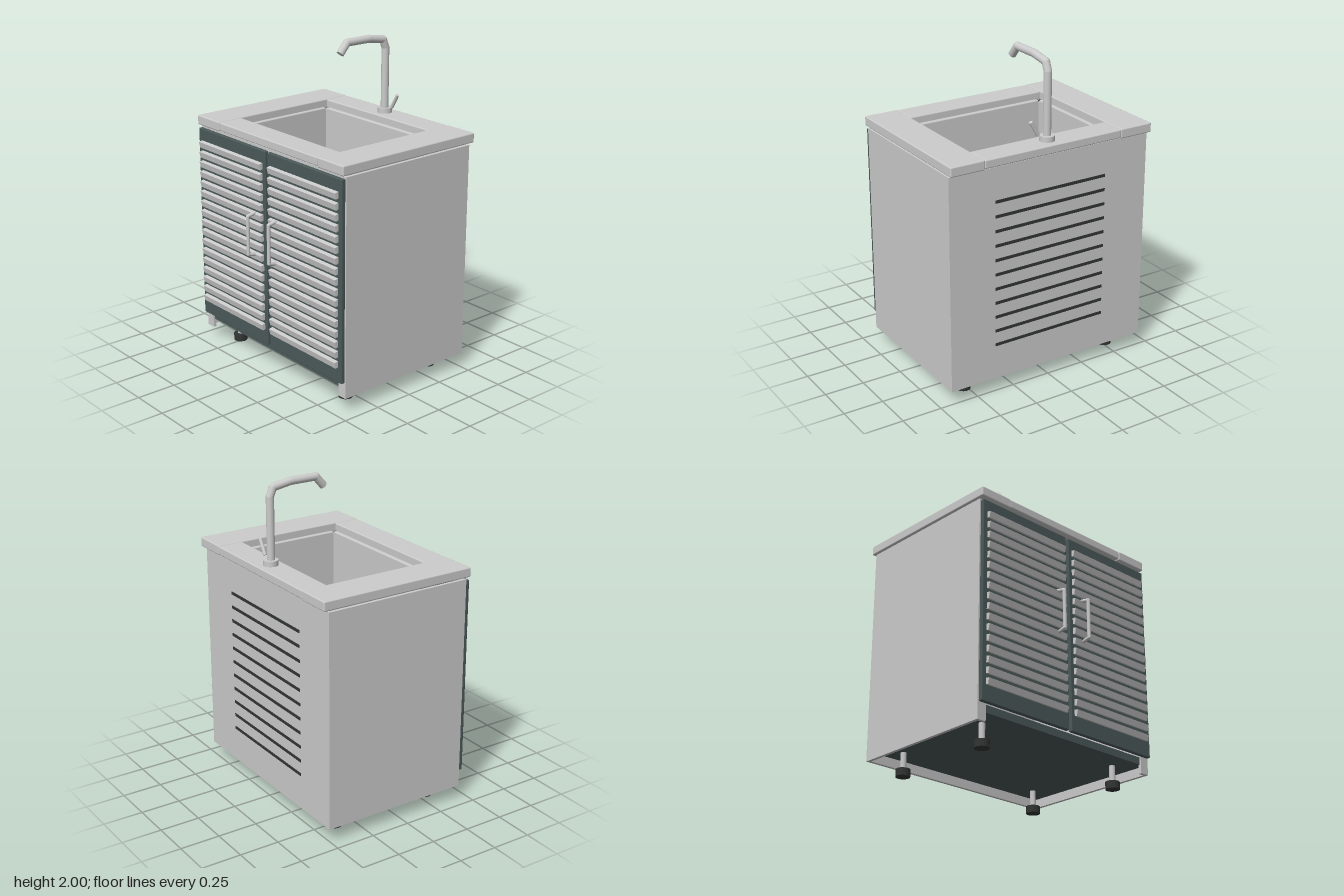
import * as THREE from 'three';
import { RoundedBoxGeometry } from 'three/addons/geometries/RoundedBoxGeometry.js';

const steel = new THREE.MeshStandardMaterial({ color: 0xcccccc });
const dark = new THREE.MeshStandardMaterial({ color: 0x4c5a5a });
const black = new THREE.MeshStandardMaterial({ color: 0x333535 });

export function createModel() {
  const model = new THREE.Group();

  const add = (parent, name, geometry, material) => {
    const mesh = new THREE.Mesh(geometry, material);
    mesh.name = name;
    parent.add(mesh);
    return mesh;
  };
  const group = (name) => {
    const g = new THREE.Group();
    g.name = name;
    model.add(g);
    return g;
  };
  // Box given by its extents; a radius rounds the edges
  const box = (parent, name, [x0, x1], [y0, y1], [z0, z1], material = steel, radius = 0) => {
    const size = [x1 - x0, y1 - y0, z1 - z0];
    const geometry = radius ? new RoundedBoxGeometry(...size, 2, radius) : new THREE.BoxGeometry(...size);
    const mesh = add(parent, name, geometry, material);
    mesh.position.set((x0 + x1) / 2, (y0 + y1) / 2, (z0 + z1) / 2);
    return mesh;
  };
  const cylinder = (parent, name, radius, y0, y1, x, z, material = steel) => {
    const mesh = add(parent, name, new THREE.CylinderGeometry(radius, radius, y1 - y0, 24), material);
    mesh.position.set(x, (y0 + y1) / 2, z);
    return mesh;
  };
  // Straight pipe runs joined by round elbows
  const pipe = (parent, name, radius, points) => {
    const p = points.map((a) => new THREE.Vector3(...a));
    for (let i = 0; i < p.length - 1; i++) {
      const dir = p[i + 1].clone().sub(p[i]);
      const run = add(parent, name, new THREE.CylinderGeometry(radius, radius, dir.length(), 16), steel);
      run.position.copy(p[i]).addScaledVector(dir, 0.5);
      run.quaternion.setFromUnitVectors(new THREE.Vector3(0, 1, 0), dir.normalize());
      if (i > 0) add(parent, name + 'Elbow', new THREE.SphereGeometry(radius, 16, 12), steel).position.copy(p[i]);
    }
  };

  // Cabinet shell
  const cabinet = group('cabinet');
  box(cabinet, 'backPanel', [-0.68, 0.68], [0.09, 1.43], [-0.51, -0.49]);
  box(cabinet, 'bottomPanel', [-0.665, 0.665], [0.145, 0.19], [-0.49, 0.43], dark);
  for (const s of [-1, 1]) {
    const span = (a, b) => (s > 0 ? [a, b] : [-b, -a]);
    box(cabinet, 'sidePanel', span(0.66, 0.68), [0.09, 1.43], [-0.49, 0.44]);
    box(cabinet, 'sideFlange', span(0.62, 0.66), [0.09, 1.43], [0.42, 0.44]);
  }
  box(cabinet, 'frontRail', [-0.62, 0.62], [1.4, 1.43], [0.41, 0.435]);

  // Vent slots on the back
  const vents = group('backVents');
  for (let i = 0; i < 11; i++) {
    const y = 0.315 + i * 0.0905;
    box(vents, 'ventSlot', [-0.38, 0.38], [y - 0.009, y + 0.009], [-0.514, -0.505], black);
  }

  // Louvred doors with bar handles
  for (const s of [-1, 1]) {
    const door = group(s > 0 ? 'leftDoor' : 'rightDoor');
    const span = (a, b) => (s > 0 ? [a, b] : [-b, -a]);
    box(door, 'doorPanel', span(0.01, 0.675), [0.19, 1.42], [0.441, 0.467], dark, 0.005);
    for (let i = 0; i < 17; i++) {
      const y = 0.305 + i * 0.0637;
      const slat = box(door, 'louver', span(0.035, 0.645), [y - 0.019, y + 0.019], [0.462, 0.488]);
      slat.rotation.x = 0.22;
    }
    const x = 0.1 * s;
    pipe(door, 'handle', 0.011, [
      [x, 1.025, 0.48], [x, 1.013, 0.534], [x, 0.772, 0.534], [x, 0.76, 0.48],
    ]);
  }

  // Countertop: two side slabs, with narrower slabs before and behind the basin
  const top = group('countertop');
  for (const s of [-1, 1]) {
    box(top, 'sideSlab', s > 0 ? [0.465, 0.685] : [-0.685, -0.465], [1.44, 1.5], [-0.545, 0.468], steel, 0.008);
  }
  box(top, 'frontSlab', [-0.465, 0.465], [1.445, 1.498], [0.3, 0.466], steel, 0.008);
  box(top, 'backSlab', [-0.465, 0.465], [1.445, 1.498], [-0.545, -0.38], steel, 0.008);

  // Basin with a rolled rim
  const basin = group('basin');
  box(basin, 'basinFloor', [-0.45, 0.45], [1.09, 1.105], [-0.365, 0.285]);
  for (const s of [-1, 1]) {
    const wallX = s > 0 ? [0.435, 0.45] : [-0.45, -0.435];
    const wallZ = s > 0 ? [0.27, 0.285] : [-0.365, -0.35];
    box(basin, 'sideWall', wallX, [1.105, 1.44], [-0.365, 0.285]);
    box(basin, 'endWall', [-0.435, 0.435], [1.105, 1.44], wallZ);
    box(basin, 'sideRim', s > 0 ? [0.435, 0.463] : [-0.463, -0.435], [1.425, 1.455], [-0.35, 0.27], steel, 0.008);
    box(basin, 'endRim', [-0.435, 0.435], [1.425, 1.455], s > 0 ? [0.27, 0.3] : [-0.38, -0.35], steel, 0.008);
  }

  // Slotted drain
  const drain = group('drain');
  cylinder(drain, 'drainCup', 0.047, 1.1, 1.108, 0, -0.04, black);
  const ring = add(drain, 'drainRing', new THREE.TorusGeometry(0.05, 0.005, 8, 32), steel);
  ring.rotation.x = Math.PI / 2;
  ring.position.set(0, 1.107, -0.04);
  for (let i = -2; i <= 2; i++) {
    box(drain, 'drainBar', [i * 0.013 - 0.002, i * 0.013 + 0.002], [1.107, 1.111], [-0.062, -0.018]);
  }

  // Tap with a bent spout and a slanted lever
  const tap = group('tap');
  cylinder(tap, 'tapBase', 0.045, 1.495, 1.53, 0, -0.46);
  pipe(tap, 'spout', 0.024, [
    [0, 1.52, -0.458], [0, 1.905, -0.458], [0, 1.957, -0.437],
    [0, 1.976, -0.32], [0, 1.976, -0.148], [0, 1.915, -0.095],
  ]);
  pipe(tap, 'lever', 0.011, [[0.063, 1.54, -0.46], [0.113, 1.627, -0.46]]);

  // Levelling feet
  const feet = group('feet');
  for (const x of [-0.52, 0.52]) {
    for (const z of [-0.37, 0.3]) {
      cylinder(feet, 'footPad', 0.043, 0, 0.045, x, z, black);
      cylinder(feet, 'footStem', 0.018, 0.045, 0.15, x, z);
    }
  }

  return model;
}
